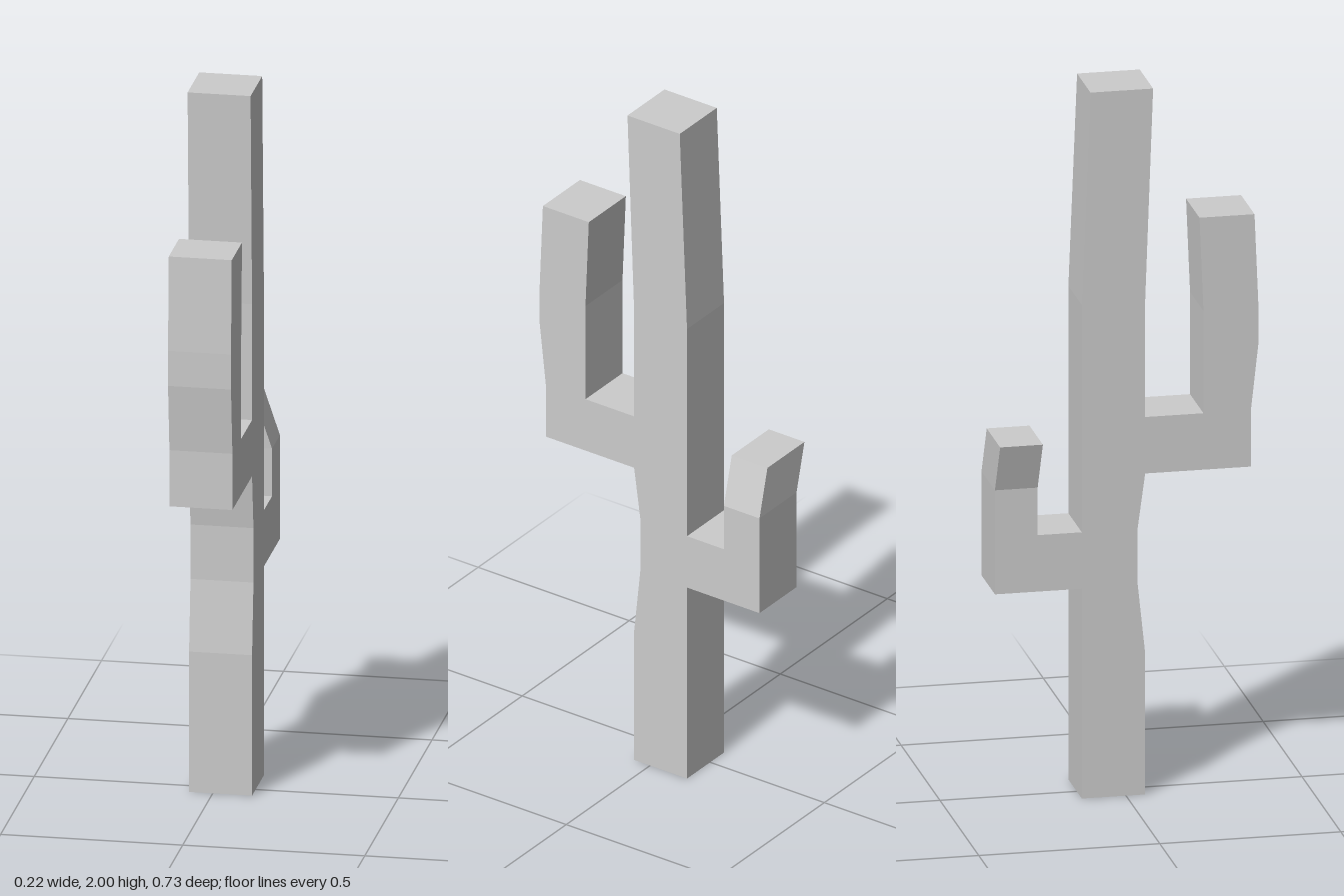
import * as THREE from 'three';

const X_MIN = -0.065, X_MAX = 0.108;
const LEAN = -0.044; // sideways lean of the rear arm's tip

const material = new THREE.MeshStandardMaterial({ color: 0xcccccc, flatShading: true });

// Side outline given as [z, y] points, extruded across the full width in x
function slab(name, outline) {
  const shape = new THREE.Shape(outline.map(([z, y]) => new THREE.Vector2(z, y)));
  const geometry = new THREE.ExtrudeGeometry(shape, { depth: X_MAX - X_MIN, bevelEnabled: false });
  geometry.rotateY(-Math.PI / 2).translate(X_MAX, 0, 0);
  const mesh = new THREE.Mesh(geometry, material);
  mesh.name = name;
  return mesh;
}

export function createModel() {
  const cactus = new THREE.Group();
  cactus.name = 'cactus';

  // Trunk with a narrowed waist and a slight forward bend at the top
  cactus.add(slab('trunk', [
    [-0.122, 0], [0.053, 0], [0.053, 0.4], [0.032, 0.6], [0.032, 0.755], [0.053, 0.91],
    [0.053, 1.4], [0.075, 2], [-0.098, 2], [-0.122, 1.4],
  ]));

  // Tall front arm
  cactus.add(slab('frontArm', [
    [0.053, 0.91], [0.345, 0.91], [0.345, 1.07], [0.366, 1.26], [0.366, 1.36],
    [0.355, 1.625], [0.203, 1.625], [0.214, 1.36], [0.214, 1.07], [0.053, 1.07],
  ]));

  // Short rear arm
  cactus.add(slab('rearArm', [
    [-0.122, 0.595], [-0.122, 0.755], [-0.244, 0.755], [-0.244, 0.89],
    [-0.362, 0.89], [-0.362, 0.595],
  ]));

  // Rear arm tip, its top edge sheared sideways
  const tip = slab('rearArmTip', [
    [-0.244, 0.89], [-0.239, 1.025], [-0.357, 1.025], [-0.362, 0.89],
  ]);
  const position = tip.geometry.attributes.position;
  for (let i = 0; i < position.count; i++) {
    if (position.getY(i) > 0.95) position.setX(i, position.getX(i) + LEAN);
  }
  tip.geometry.computeVertexNormals();
  cactus.add(tip);

  return cactus;
}
